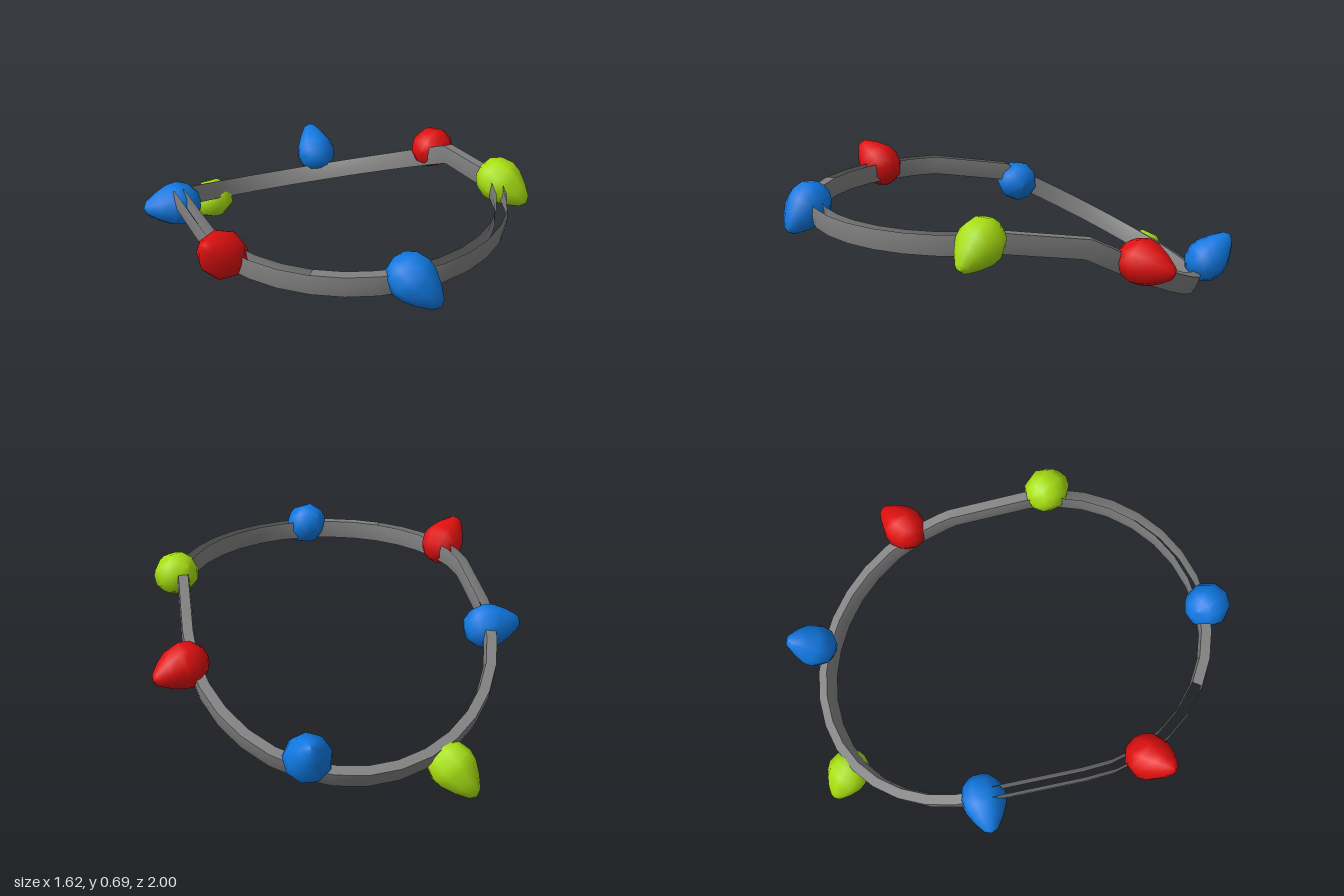
import * as THREE from 'three';

const RX = 0.655, FRONT = 16, BACK = 16;

// Height of the wire: level at the front, then dropping in two slopes to the back
function heightAt(z) {
  if (z > 0.2) return 0.545;
  if (z > -0.15) return 0.545 + (z - 0.2) * 0.157;
  return 0.49 + (z + 0.15) * 0.517;
}

// Closed loop: front arc, left straight, back arc, right straight
function wirePath() {
  const pts = [];
  const add = (x, z) => pts.push(new THREE.Vector3(x, heightAt(z), z));
  for (let i = 0; i <= FRONT; i++) {
    const t = (i / FRONT) * Math.PI;
    add(RX * Math.cos(t), 0.2 + 0.66 * Math.sin(t));
  }
  add(-RX, -0.15);
  for (let i = 0; i <= BACK; i++) {
    const t = (i / BACK) * Math.PI;
    add(-RX * Math.cos(t), -0.2 - 0.665 * Math.sin(t));
  }
  add(RX, -0.15);
  return pts;
}

// Sweeps a short profile of [outward, up] offsets along part of the loop
function sweep(path, profile, from, to) {
  const n = path.length, cols = profile.length;
  const closed = to - from === n;
  const rows = closed ? n : to - from + 1;
  const pos = [], idx = [];
  for (let r = 0; r < rows; r++) {
    const i = (from + r) % n, p = path[i];
    const tangent = path[(i + 1) % n].clone().sub(path[(i + n - 1) % n]).normalize();
    const slope = (heightAt(p.z + 0.01) - heightAt(p.z - 0.01)) / 0.02;
    const up = new THREE.Vector3(0, 1, -slope).normalize();
    const out = up.clone().cross(tangent).normalize();
    for (const [o, u] of profile) {
      const v = p.clone().addScaledVector(out, o).addScaledVector(up, u);
      pos.push(v.x, v.y, v.z);
    }
  }
  for (let r = 0; r < (closed ? rows : rows - 1); r++) {
    for (let c = 0; c < cols - 1; c++) {
      const a = r * cols + c, b = ((r + 1) % rows) * cols + c;
      idx.push(a, a + 1, b, b, a + 1, b + 1);
    }
  }
  const g = new THREE.BufferGeometry();
  g.setAttribute('position', new THREE.Float32BufferAttribute(pos, 3));
  g.setIndex(idx);
  g.computeVertexNormals();
  return g;
}

export function createModel() {
  const model = new THREE.Group();
  model.name = 'lightString';
  const mat = (name, color, side = THREE.FrontSide) => {
    const m = new THREE.MeshStandardMaterial({ color, side });
    m.name = name;
    return m;
  };
  const grey = mat('wireGrey', 0x808080, THREE.DoubleSide);
  const red = mat('bulbRed', 0xe01010);
  const blue = mat('bulbBlue', 0x1078e0);
  const lime = mat('bulbLime', 0xa8e012);

  // Wire: two thin walls all round, closed above and below only in places
  const path = wirePath(), n = path.length;
  const T = 0.022, H = 0.043;
  const wire = new THREE.Group();
  wire.name = 'wire';
  const addStrip = (name, profile, from, to) => {
    const m = new THREE.Mesh(sweep(path, profile, from, to), grey);
    m.name = name;
    wire.add(m);
  };
  addStrip('outerWall', [[T, -H], [T + 0.005, 0], [T, H]], 0, n);
  addStrip('innerWall', [[-T, H], [-T - 0.006, 0], [-T, -H]], 0, n);
  addStrip('wireTopBack', [[T, H], [-T, H]], FRONT + 2, n);
  addStrip('wireTopFront', [[T, H], [-T, H]], 8, 11);
  addStrip('wireUndersideBack', [[-T, -H], [T, -H]], FRONT + 2, n);
  model.add(wire);

  // Bulbs: faceted teardrops, round end on the wire and tip pointing away
  const profile = [
    [0, -0.098], [0.05, -0.088], [0.085, -0.052], [0.1, 0], [0.092, 0.045],
    [0.064, 0.1], [0.03, 0.148], [0, 0.162],
  ].map(([r, y]) => new THREE.Vector2(r, y));
  const bulbGeometry = new THREE.LatheGeometry(profile, 9);
  const bulbs = [
    ['frontBulb', blue, [-0.01, 0.57, 0.88], [0.08, 0.465, 0.99]],
    ['leftFrontBulb', lime, [0.68, 0.565, 0.29], [0.77, 0.48, 0.4]],
    ['leftBackBulb', red, [0.675, 0.42, -0.375], [0.81, 0.4, -0.47]],
    ['backBulb', blue, [0.24, 0.235, -0.88], [0.24, 0.35, -0.99]],
    ['rightBackBulb', lime, [-0.35, 0.105, -0.815], [-0.435, 0.005, -0.9]],
    ['rightMiddleBulb', blue, [-0.65, 0.43, -0.23], [-0.81, 0.44, -0.22]],
    ['rightFrontBulb', red, [-0.63, 0.565, 0.475], [-0.73, 0.67, 0.56]],
  ];
  for (const [name, material, base, tip] of bulbs) {
    const b = new THREE.Vector3(...base);
    const dir = new THREE.Vector3(...tip).sub(b).normalize();
    const bulb = new THREE.Mesh(bulbGeometry, material);
    bulb.name = name;
    bulb.position.copy(b);
    bulb.quaternion.setFromUnitVectors(new THREE.Vector3(0, 1, 0), dir);
    model.add(bulb);
  }
  return model;
}
